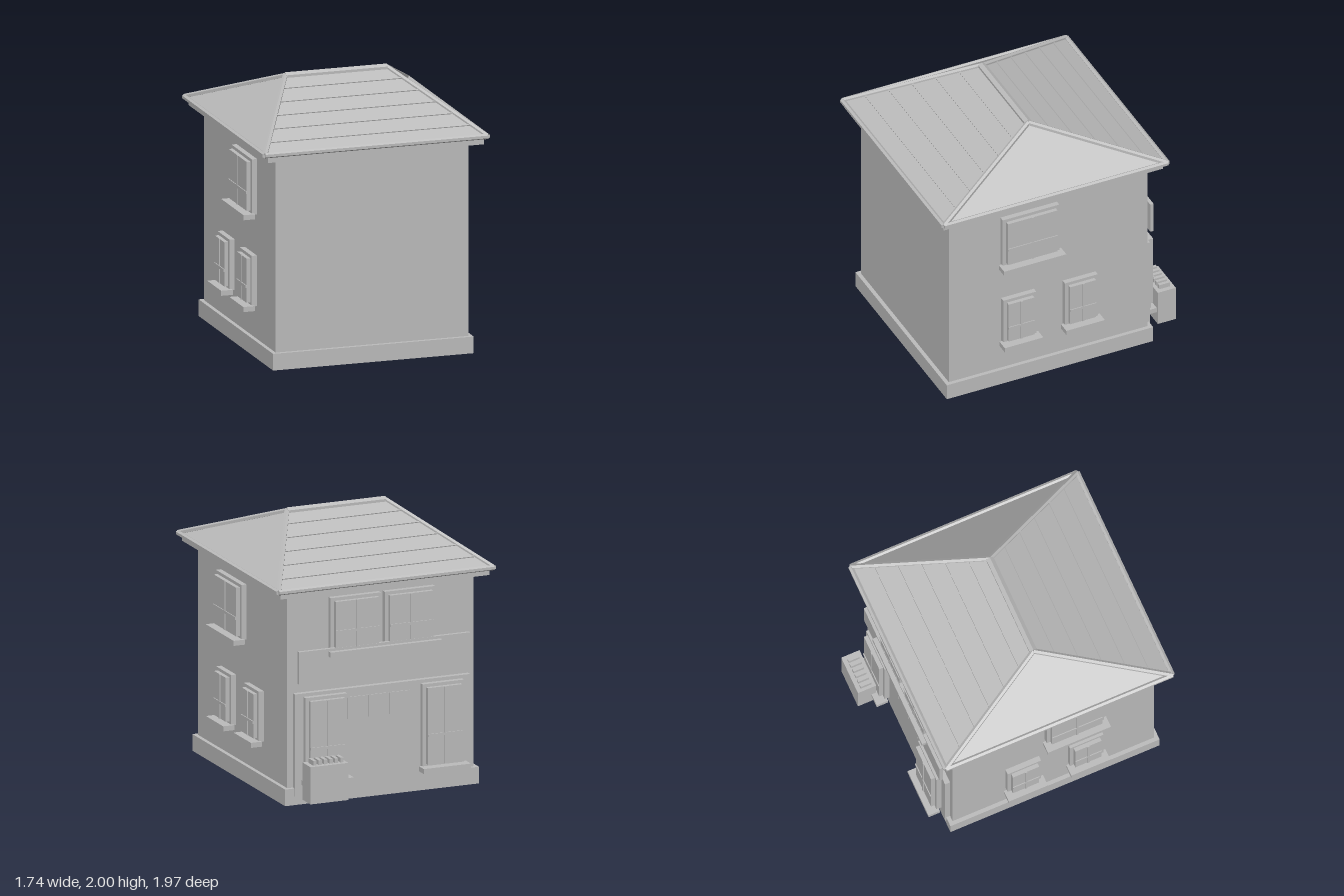
import * as THREE from 'three';

const plaster = new THREE.MeshStandardMaterial({ color: 0xbcbcbc });
plaster.name = 'plainGrey';

function add(parent, name, geometry) {
  const mesh = new THREE.Mesh(geometry, plaster);
  mesh.name = name;
  parent.add(mesh);
  return mesh;
}

// Box given by its minimum and maximum on each axis
function box(parent, name, x0, x1, y0, y1, z0, z1) {
  const mesh = add(parent, name, new THREE.BoxGeometry(x1 - x0, y1 - y0, z1 - z0));
  mesh.position.set((x0 + x1) / 2, (y0 + y1) / 2, (z0 + z1) / 2);
  return mesh;
}

// Six-sided capping bar between two points
function bar(parent, name, a, b, radius) {
  const dir = b.clone().sub(a);
  const geometry = new THREE.CylinderGeometry(radius, radius, dir.length(), 6).toNonIndexed();
  geometry.computeVertexNormals();
  geometry.rotateX(Math.PI / 2);
  const mesh = add(parent, name, geometry);
  mesh.position.copy(a).add(b).multiplyScalar(0.5);
  mesh.lookAt(b);
  return mesh;
}

// Wall-local frame: x along the wall, y up, z outward
function wall(parent, name, x, z, angle) {
  const group = new THREE.Group();
  group.name = name;
  group.position.set(x, 0, z);
  group.rotation.y = angle;
  parent.add(group);
  return group;
}

function sill(parent, cx, width, y, z) {
  box(parent, 'windowSill', cx - width / 2, cx + width / 2, y - 0.03, y + 0.008, z + 0.022, z + 0.112);
}

function windowUnit(parent, cx, width, y0, y1, barY, z = 0, hasSill = true) {
  const w = new THREE.Group();
  w.name = 'window';
  parent.add(w);
  const h = width / 2, s = h - 0.028;
  box(w, 'windowCasing', cx - h, cx + h, y0, y1, z, z + 0.04);
  box(w, 'windowSash', cx - s, cx + s, y0 + 0.024, y1 - 0.024, z, z + 0.07);
  box(w, 'verticalGlazingBar', cx - 0.008, cx + 0.008, y0 + 0.024, y1 - 0.024, z + 0.07, z + 0.076);
  box(w, 'horizontalGlazingBar', cx - s, cx + s, barY - 0.01, barY + 0.01, z + 0.07, z + 0.077);
  if (hasSill) sill(w, cx, width + 0.045, y0, z);
}

const ROOF = { x: 0.855, front: 0.965, back: -0.835, y: 1.635, ridgeX: 0.39, ridgeY: 1.975, ridgeZ: 0.065 };

function buildRoof(parent) {
  const { x, front, back, y, ridgeX, ridgeY, ridgeZ } = ROOF;
  const p = [
    [-x, y, front], [x, y, front], [x, y, back], [-x, y, back],
    [-ridgeX, ridgeY, ridgeZ], [ridgeX, ridgeY, ridgeZ],
  ].map((v) => new THREE.Vector3(...v));

  // Hipped roof body with flat faces
  const faces = [0, 1, 5, 0, 5, 4, 1, 2, 5, 2, 3, 4, 2, 4, 5, 3, 0, 4, 0, 3, 2, 0, 2, 1];
  const geometry = new THREE.BufferGeometry().setFromPoints(faces.map((i) => p[i]));
  geometry.computeVertexNormals();
  add(parent, 'hippedRoof', geometry);

  // Edge trims, hip caps and ridge cap
  for (let i = 0; i < 4; i++) {
    bar(parent, 'eaveTrim', p[i], p[(i + 1) % 4], 0.02);
    bar(parent, 'hipCap', p[i], p[i === 0 || i === 3 ? 4 : 5], 0.02);
  }
  const ridge = bar(parent, 'ridgeCap', p[4], p[5], 0.033);
  ridge.position.y = 1.967;

  // Raised tile courses on the front and back slopes
  for (const dir of [1, -1]) {
    const run = dir > 0 ? front - ridgeZ : ridgeZ - back;
    const rise = ridgeY - y;
    for (let k = 0; k < 5; k++) {
      const d = 0.147 + 0.152 * k, t = d / run;
      const half = ridgeX + (x - ridgeX) * t;
      const course = add(parent, 'tileCourse', new THREE.BoxGeometry(2 * half, 0.014, 0.012));
      course.position.set(0, ridgeY - rise * t, ridgeZ + dir * d);
      course.rotation.x = dir * Math.atan2(rise, run);
    }
  }
}

export function createModel() {
  const house = new THREE.Group();
  house.name = 'house';

  // Walls, plinth and eaves
  box(house, 'plinth', -0.77, 0.77, 0, 0.125, -0.76, 0.9);
  box(house, 'walls', -0.74, 0.74, 0.1, 1.6, -0.73, 0.87);
  box(house, 'soffit', -0.83, 0.83, 1.575, 1.615, -0.81, 0.955);
  box(house, 'eaveSlab', -0.845, 0.845, 1.612, 1.64, -0.825, 0.955);
  buildRoof(house);

  // Side walls, mirrored
  for (const s of [1, -1]) {
    const side = wall(house, s > 0 ? 'leftWindows' : 'rightWindows', s * 0.74, 0, s * Math.PI / 2);
    windowUnit(side, -s * 0.2275, 0.455, 1.06, 1.475, 1.22);
    windowUnit(side, -s * 0.3175, 0.265, 0.37, 0.75, 0.515);
    windowUnit(side, s * 0.1775, 0.265, 0.37, 0.75, 0.515);
  }

  // Back facade: paired upper windows, fascia board and ground-floor panel
  const rear = wall(house, 'backFacade', 0, -0.73, Math.PI);
  for (const s of [1, -1]) {
    windowUnit(rear, s * 0.215, 0.4, 1.13, 1.53, 1.28, 0.005, false);
    windowUnit(rear, s * 0.465, 0.33, 0.185, 0.81, 0.43, 0.04);
  }
  sill(rear, 0, 0.89, 1.132, 0);
  box(rear, 'fasciaBoard', -0.68, 0.68, 0.917, 1.16, 0.05, 0.077);
  box(rear, 'groundFloorPanel', -0.695, 0.695, 0.065, 0.835, 0, 0.04);
  for (let i = 0; i < 3; i++) {
    const x = -0.28 + i * 0.167;
    box(rear, 'transomPane', x, x + 0.16, 0.605, 0.77, 0.04, 0.047);
  }

  // Outdoor unit with slatted top
  box(house, 'outdoorUnit', 0.37, 0.67, 0.06, 0.34, -0.99, -0.845);
  for (let i = 0; i < 6; i++) {
    const x = 0.393 + i * 0.0432;
    box(house, 'ventFin', x, x + 0.025, 0.335, 0.375, -0.958, -0.873);
  }
  return house;
}
